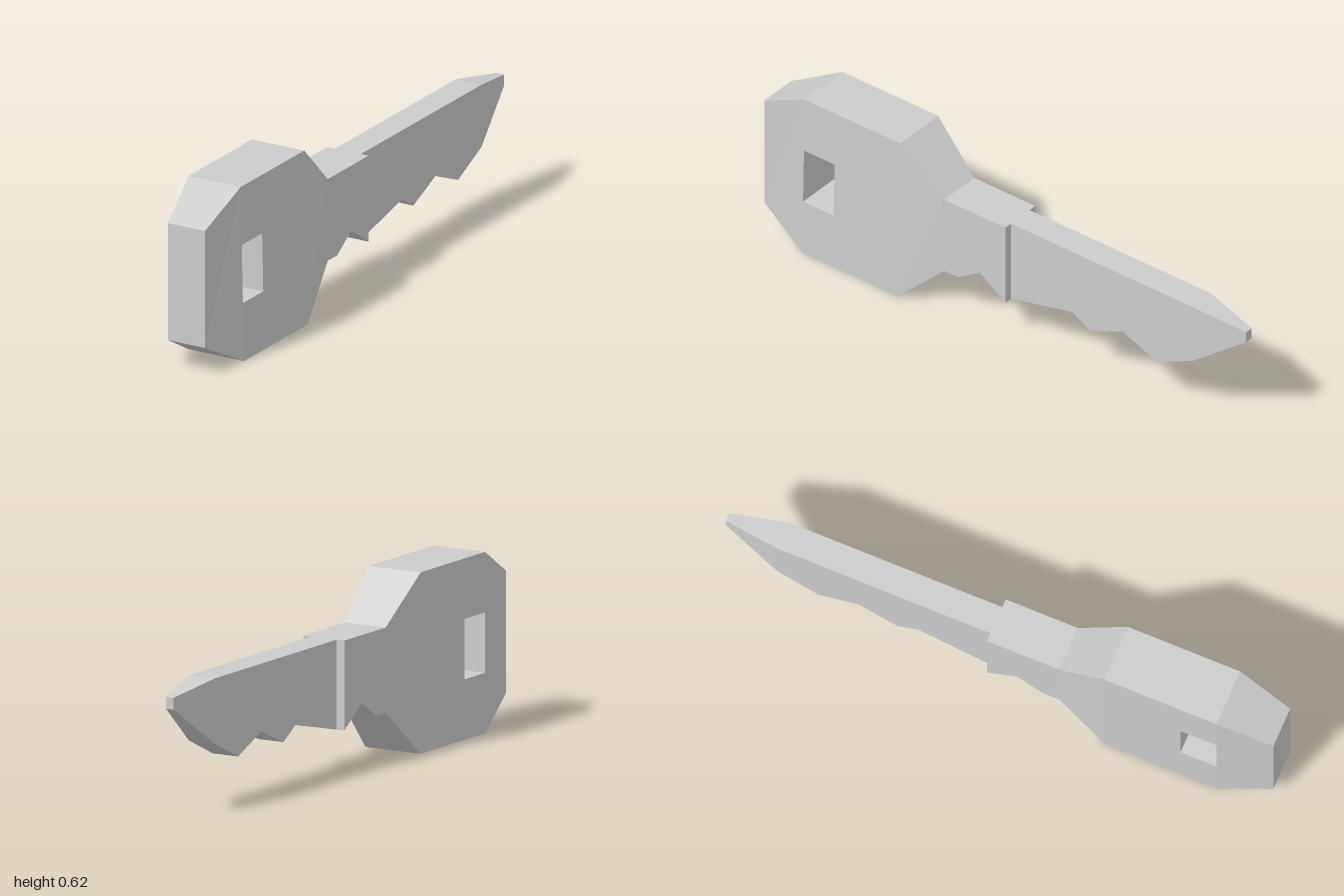
import * as THREE from 'three';

const material = new THREE.MeshStandardMaterial({ color: 0xcccccc, flatShading: true });

// Four-cornered section at depth z; the +x side may lean in towards the top.
function section([z, bottom, top, w, wBottom = w, wTop = w]) {
  return [[-w, bottom, z], [wBottom, bottom, z], [wTop, top, z], [-w, top, z]];
}

// Skins a row of sections running from front (+z) to back, with optional end caps.
function loft(name, rows, frontCap = true, backCap = true) {
  const pos = [];
  const quad = (a, b, c, d) => pos.push(...a, ...b, ...c, ...a, ...c, ...d);
  const s = rows.map(section);
  for (let k = 0; k < s.length - 1; k++) {
    for (let i = 0; i < 4; i++) {
      const j = (i + 1) % 4;
      quad(s[k][i], s[k + 1][i], s[k + 1][j], s[k][j]);
    }
  }
  if (frontCap) quad(...s[0]);
  if (backCap) quad(...[...s[s.length - 1]].reverse());
  const geometry = new THREE.BufferGeometry();
  geometry.setAttribute('position', new THREE.Float32BufferAttribute(pos, 3));
  geometry.computeVertexNormals();
  const mesh = new THREE.Mesh(geometry, material);
  mesh.name = name;
  return mesh;
}

export function createModel() {
  const key = new THREE.Group();
  key.name = 'key';

  // Handle sizes: height, half width, leaning top edge, and the ring hole
  const H = 0.615, W = 0.108, WT = 0.095;
  const holeFront = 0.81, holeBack = 0.68, holeLow = 0.205, holeHigh = 0.41;
  const lean = (y) => W + (WT - W) * y / H;

  // Bevelled front end of the handle
  key.add(loft('handleEnd', [
    [1, 0.1, 0.515, 0.072],
    [holeFront, 0, H, W, W, WT],
  ]));

  // Bars below and above the ring hole
  for (const [name, low, high] of [['lowerBar', 0, holeLow], ['upperBar', holeHigh, H]]) {
    const rows = [holeFront, holeBack].map((z) => [z, low, high, W, lean(low), lean(high)]);
    key.add(loft(name, rows, false, false));
  }

  // Rest of the handle, narrowing into the collar
  key.add(loft('handleAndCollar', [
    [holeBack, 0, H, W, W, WT],
    [0.405, 0, H, W, W, WT],
    [0.23, 0.165, 0.455, 0.08],
    [0.17, 0.165, 0.455, 0.08],
    [0.08, 0.225, 0.455, 0.08],
    [-0.03, 0.15, 0.455, 0.08],
  ]));

  // Toothed blade with a tapered tip
  key.add(loft('blade', [
    [-0.03, 0.15, 0.455, 0.05],
    [-0.29, 0.21, 0.455, 0.05],
    [-0.365, 0.165, 0.455, 0.05],
    [-0.505, 0.225, 0.455, 0.05],
    [-0.65, 0.165, 0.455, 0.05],
    [-0.8, 0.235, 0.455, 0.05],
    [-1, 0.38, 0.42, 0.015],
  ], false));

  return key;
}
